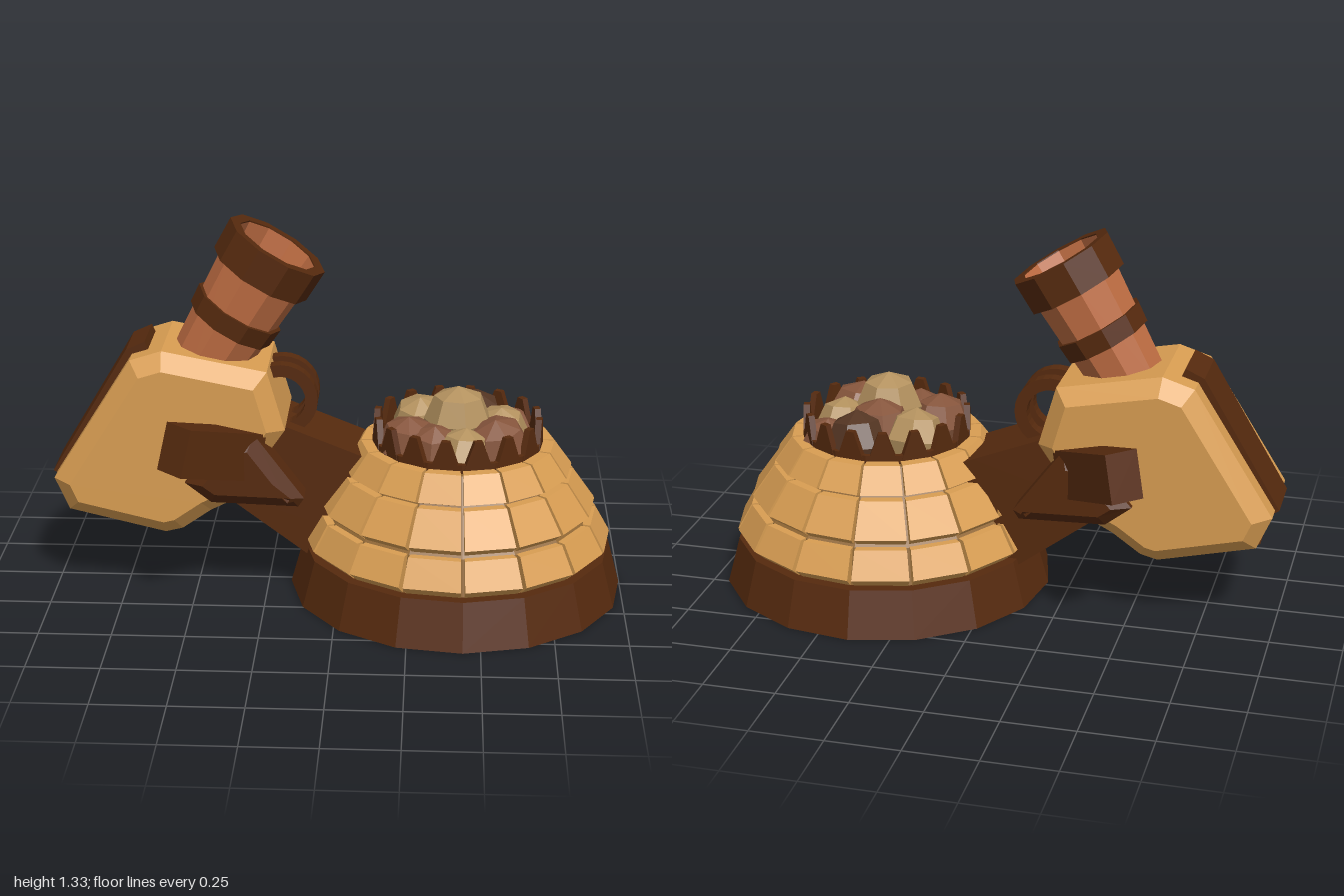
import * as THREE from 'three';

const mat = (name, color, side = THREE.FrontSide) => {
  const m = new THREE.MeshStandardMaterial({ color, flatShading: true, side });
  m.name = name;
  return m;
};

export function createModel() {
  const tan = mat('tan', 0xd89d52);
  const groove = mat('grooveBrown', 0x8f6634);
  const brown = mat('darkBrown', 0x562a0e, THREE.DoubleSide);
  const clay = mat('terracotta', 0xbd6c42);
  const paleRock = mat('paleRock', 0xb3915e);
  const redRock = mat('redRock', 0x86553c);
  const darkRock = mat('darkRock', 0x553623);

  const model = new THREE.Group();
  model.name = 'model';
  const add = (parent, name, geo, material, x = 0, y = 0, z = 0) => {
    const m = new THREE.Mesh(geo, material);
    m.name = name;
    m.position.set(x, y, z);
    parent.add(m);
    return m;
  };
  const group = (name, x, y, z) => {
    const g = new THREE.Group();
    g.name = name;
    g.position.set(x, y, z);
    model.add(g);
    return g;
  };
  const v2 = (pts) => pts.map(([x, y]) => new THREE.Vector2(x, y));
  const lathe = (pts, n) => new THREE.LatheGeometry(v2(pts), n);

  // Side profile extruded across z, centred, with chamfered rims
  const slab = (pts, width, bevel = 0) => {
    const geo = new THREE.ExtrudeGeometry(new THREE.Shape(v2(pts)), {
      depth: width - 2 * bevel, bevelEnabled: bevel > 0, bevelSegments: 1,
      bevelSize: bevel, bevelThickness: bevel, bevelOffset: -bevel,
    });
    return geo.translate(0, 0, bevel - width / 2);
  };

  // Solid swept from angle a0 to a1 with a four-point (radius, height) section
  const wedge = (section, a0, a1) => {
    const pos = [];
    for (const a of [a0, a1])
      for (const [r, y] of section) pos.push(r * Math.sin(a), y, r * Math.cos(a));
    const index = [0, 1, 2, 0, 2, 3, 4, 6, 5, 4, 7, 6];
    for (let i = 0; i < 4; i++) {
      const j = (i + 1) % 4;
      index.push(j, i, i + 4, j, i + 4, j + 4);
    }
    const geo = new THREE.BufferGeometry();
    geo.setAttribute('position', new THREE.Float32BufferAttribute(pos, 3));
    geo.setIndex(index);
    const flat = geo.toNonIndexed();
    flat.computeVertexNormals();
    return flat;
  };

  // Domed mound: plinth, core and three tiers of panels
  const SIDES = 16, STEP = Math.PI * 2 / SIDES;
  const dome = group('dome', 0.415, 0, 0);
  dome.rotation.y = 0.043;
  add(dome, 'plinth', new THREE.CylinderGeometry(0.54, 0.585, 0.165, SIDES), brown, 0, 0.0825, 0);
  add(dome, 'domeCore', lathe([[0.5, 0.16], [0.465, 0.29], [0.455, 0.3], [0.375, 0.435], [0.32, 0.53], [0.29, 0.53]], SIDES), groove);
  const tiers = [
    [[0.542, 0.2], [0.49, 0.292], [0.42, 0.292], [0.505, 0.167]],
    [[0.485, 0.325], [0.405, 0.437], [0.35, 0.437], [0.45, 0.295]],
    [[0.4, 0.455], [0.338, 0.54], [0.295, 0.54], [0.36, 0.438]],
  ];
  tiers.forEach((section, t) => {
    for (let i = 0; i < SIDES; i++)
      add(dome, `panelTier${t + 1}`, wedge(section, i * STEP + 0.013, (i + 1) * STEP - 0.013), tan);
  });

  // Pit with a crown of pointed stakes
  add(dome, 'pitWall', lathe([[0.298, 0.48], [0.298, 0.56], [0.28, 0.56], [0.28, 0.5], [0, 0.5]], SIDES), brown);
  const stakeGeo = slab([[-0.05, 0], [0.05, 0], [0.014, 0.1], [-0.014, 0.1]], 0.022);
  for (let i = 0; i < SIDES; i++) {
    const a = (i + 0.5) * STEP;
    add(dome, 'stake', stakeGeo, brown, 0.283 * Math.sin(a), 0.54, 0.283 * Math.cos(a)).rotation.y = a;
  }

  // Heap of rocks
  const rocks = group('rocks', 0.415, 0, 0);
  [
    [0, 0.63, 0.03, 0.12, paleRock], [-0.13, 0.56, -0.1, 0.11, paleRock],
    [0.15, 0.56, -0.03, 0.1, paleRock], [0.02, 0.55, 0.18, 0.1, paleRock],
    [-0.17, 0.55, 0.09, 0.11, redRock], [0.14, 0.55, 0.11, 0.12, redRock],
    [0, 0.57, -0.08, 0.12, redRock], [0.05, 0.55, -0.17, 0.12, darkRock],
    [-0.08, 0.55, 0.14, 0.1, redRock], [0.18, 0.53, -0.13, 0.09, redRock],
  ].forEach(([x, y, z, r, m], i) => {
    const rock = add(rocks, 'rock', new THREE.SphereGeometry(r, 7, 4), m, x, y, z);
    rock.rotation.set(0.1 * (i % 3), i * 1.3, 0.12 * (i % 2));
  });

  // Tilted body, neck and protective strips
  const body = group('body', 0, 0, -0.02);
  add(body, 'bodyShell', slab([
    [-0.6, 0.235], [-0.54, 0.25], [-0.44, 0.32], [-0.36, 0.36], [-0.18, 0.62],
    [-0.24, 0.83], [-0.6, 0.9], [-0.71, 0.865], [-0.985, 0.43], [-0.935, 0.315],
  ], 0.45, 0.055), tan);
  add(body, 'neck', slab([
    [-0.42, 0.38], [-0.1, 0.14], [0.12, 0.2], [0.12, 0.5], [0.06, 0.525], [-0.18, 0.62], [-0.3, 0.58],
  ], 0.27), brown);
  add(body, 'backStrip', slab([
    [-0.97, 0.41], [-0.72, 0.84], [-0.65, 0.875], [-0.665, 0.91], [-0.73, 0.88], [-1, 0.43],
  ], 0.2), brown);
  add(body, 'bottomStrip', slab([
    [-0.94, 0.3], [-0.6, 0.218], [-0.515, 0.245], [-0.54, 0.28], [-0.9, 0.34],
  ], 0.2), brown);

  // Pair of ring handles
  const ring = new THREE.Shape().absarc(0, 0, 0.128, 0, Math.PI * 2);
  ring.holes.push(new THREE.Path().absarc(0, 0, 0.085, 0, Math.PI * 2));
  const ringGeo = new THREE.ExtrudeGeometry(ring, { depth: 0.045, bevelEnabled: false, curveSegments: 14 });
  for (const z of [-0.05, 0.05]) add(body, 'ringHandle', ringGeo, brown, -0.2, 0.695, z - 0.0225);

  // Side brackets and stubby arms, mirrored
  const bracketGeo = slab([
    [-0.43, 0.38], [-0.13, 0.37], [-0.11, 0.4], [-0.28, 0.63], [-0.37, 0.62], [-0.52, 0.45],
  ], 0.18, 0.045);
  for (const s of [1, -1]) {
    add(body, 'sideBracket', bracketGeo, brown, 0, 0, s * 0.2);
    const start = new THREE.Vector3(-0.3, 0.54, s * 0.19);
    const end = new THREE.Vector3(-0.53, 0.645, s * 0.44);
    const arm = new THREE.Mesh(new THREE.BoxGeometry(0.12, 0.165, start.distanceTo(end)), brown);
    arm.name = 'arm';
    arm.position.copy(start).add(end).multiplyScalar(0.5);
    arm.lookAt(end);
    body.add(arm);
  }

  // Flared barrel with a muzzle ring and a band
  const barrel = group('barrel', -0.21, 1.235, -0.01);
  barrel.rotation.z = -0.535;
  const part = (name, pts, m) => { add(barrel, name, lathe(pts, 10), m).rotation.y = Math.PI / 2; };
  part('barrelTube', [[0.128, -0.52], [0.16, -0.1]], clay);
  part('barrelBore', [[0.146, -0.004], [0.11, -0.4], [0, -0.4]], clay);
  part('muzzleRing', [[0.182, -0.12], [0.186, 0], [0.147, 0], [0.147, -0.12], [0.182, -0.12]], brown);
  part('barrelBand', [[0.13, -0.33], [0.156, -0.33], [0.162, -0.26], [0.14, -0.26]], brown);

  return model;
}
